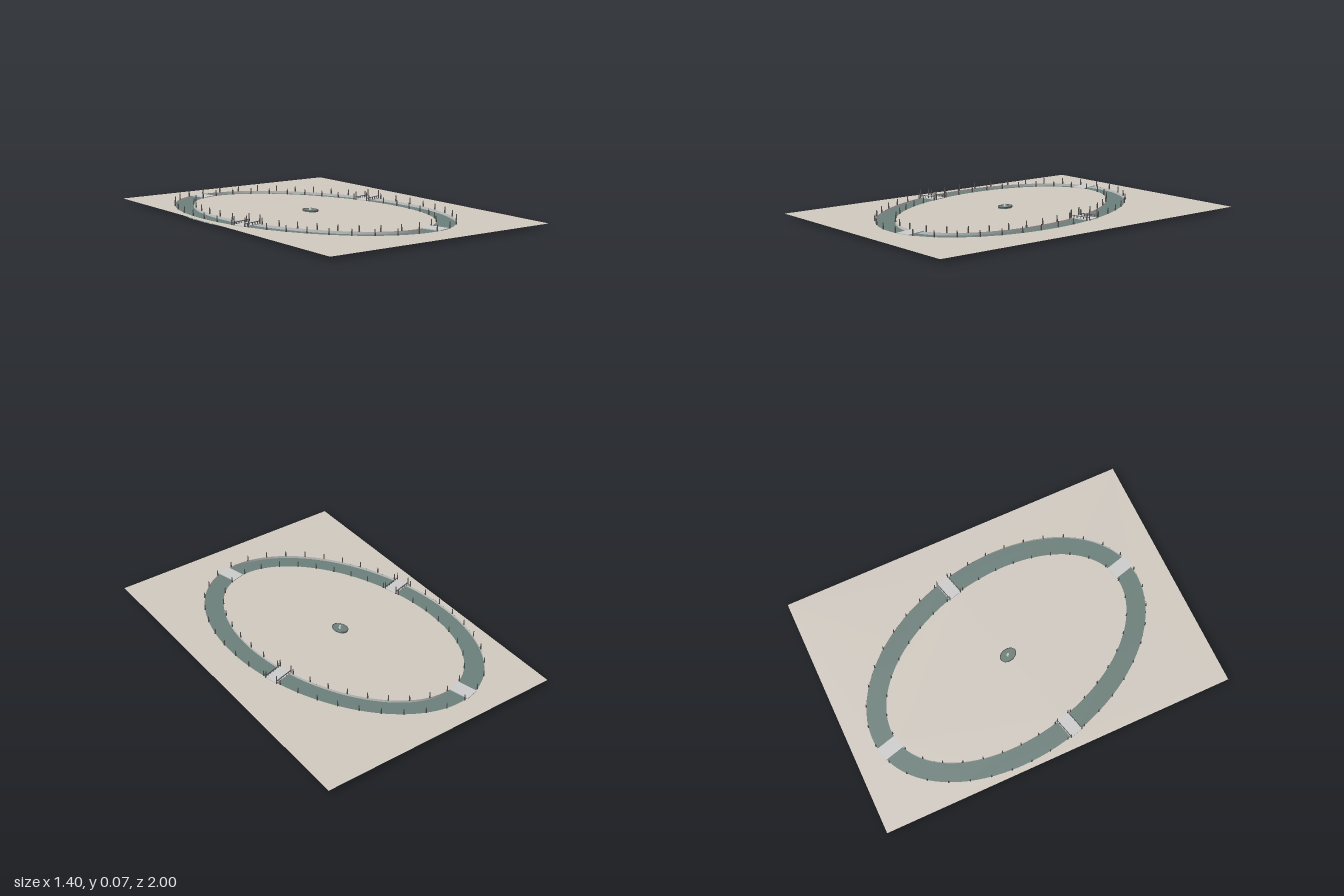
import * as THREE from 'three';

const CX = -0.077, CZ = -0.022, TILT = Math.PI / 12;
const GROUND = 0.018;
const OUT = [0.566, 0.868], INN = [0.458, 0.759]; // radii across and along the oval

const mat = (color) => new THREE.MeshStandardMaterial({ color, side: THREE.DoubleSide });

function ellipse(Cls, r, x = 0, y = 0, rot = 0) {
  return new Cls().absellipse(x, y, r[0], r[1], 0, Math.PI * 2, false, rot);
}

function mesh(name, geo, material, x = 0, y = 0, z = 0) {
  const m = new THREE.Mesh(geo, material);
  m.name = name;
  m.position.set(x, y, z);
  return m;
}

// Flat shape laid on the ground plane
const flat = (shape) => new THREE.ShapeGeometry(shape, 64).rotateX(-Math.PI / 2);

export function createModel() {
  const model = new THREE.Group();
  const sand = mat(0xd0c9c0), water = mat(0x6c7f7a), stone = mat(0xcccccc), dark = mat(0x555555);

  // Ground sheet with the oval channel cut out
  const sheet = new THREE.Shape();
  sheet.moveTo(-0.7, -1).lineTo(0.7, -1).lineTo(0.7, 1).lineTo(-0.7, 1).closePath();
  sheet.holes.push(ellipse(THREE.Path, OUT, CX, -CZ, TILT));
  model.add(mesh('ground', flat(sheet), sand, 0, GROUND));

  const oval = new THREE.Group();
  oval.name = 'moat';
  oval.position.set(CX, 0, CZ);
  oval.rotation.y = TILT;
  model.add(oval);
  oval.add(mesh('island', flat(ellipse(THREE.Shape, INN)), sand, 0, GROUND));

  // Channel floor and its two side walls
  const ring = ellipse(THREE.Shape, OUT);
  ring.holes.push(ellipse(THREE.Path, INN));
  const floor = new THREE.ExtrudeGeometry(ring, { depth: 0.004, bevelEnabled: false, curveSegments: 64 });
  oval.add(mesh('water', floor.rotateX(-Math.PI / 2), water));
  for (const [name, r] of [['outerWall', OUT], ['innerWall', INN]]) {
    const wall = new THREE.CylinderGeometry(1, 1, GROUND, 96, 1, true).scale(r[0], 1, r[1]);
    oval.add(mesh(name, wall, stone, 0, GROUND / 2));
  }

  // Evenly spaced posts along both banks
  const postGeo = new THREE.CylinderGeometry(0.0025, 0.0045, 0.034, 6);
  for (const [name, r, n] of [['outerPost', OUT, 40], ['innerPost', INN, 36]]) {
    const curve = new THREE.EllipseCurve(0, 0, r[0], r[1]);
    curve.arcLengthDivisions = 400;
    for (let i = 0; i < n; i++) {
      const p = curve.getPointAt((i + 0.5) / n);
      oval.add(mesh(name, postGeo, dark, p.x, GROUND + 0.017, p.y));
    }
  }

  // Four bridges on the oval's axes; the two on the long sides have railings
  for (let i = 0; i < 4; i++) {
    const side = i % 2 === 0;
    const bridge = new THREE.Group();
    bridge.name = side ? 'sideBridge' : 'endBridge';
    const k = side ? 0 : 1, d = (OUT[k] + INN[k]) / 2;
    const a = i * Math.PI / 2;
    bridge.position.set(Math.cos(a) * d, GROUND, -Math.sin(a) * d);
    bridge.rotation.y = a;
    bridge.add(mesh('deck', new THREE.BoxGeometry(0.118, 0.005, 0.078), stone, 0, 0.002));
    if (side) for (const s of [-1, 1]) {
      bridge.add(mesh('rail', new THREE.BoxGeometry(0.115, 0.003, 0.004), dark, 0, 0.016, s * 0.037));
      for (const e of [-1, 1]) {
        const tall = new THREE.CylinderGeometry(0.0025, 0.004, 0.048, 6);
        bridge.add(mesh('cornerPost', tall, dark, e * 0.057, 0.024, s * 0.037));
      }
      for (let j = -2; j <= 2; j++) {
        bridge.add(mesh('baluster', new THREE.BoxGeometry(0.003, 0.015, 0.003), dark, j * 0.02, 0.0085, s * 0.037));
      }
    }
    oval.add(bridge);
  }

  // Small pool with a spout in the middle of the island
  const pool = new THREE.CylinderGeometry(1, 1, 0.008, 32).scale(0.034, 1, 0.047);
  oval.add(mesh('pool', pool, water, 0, GROUND + 0.004));
  const rim = new THREE.TorusGeometry(1, 0.06, 6, 32).rotateX(Math.PI / 2).scale(0.034, 0.05, 0.047);
  oval.add(mesh('poolRim', rim, dark, 0, GROUND + 0.008));
  oval.add(mesh('spout', new THREE.CylinderGeometry(0.005, 0.011, 0.024, 12), stone, 0, GROUND + 0.012));
  return model;
}
